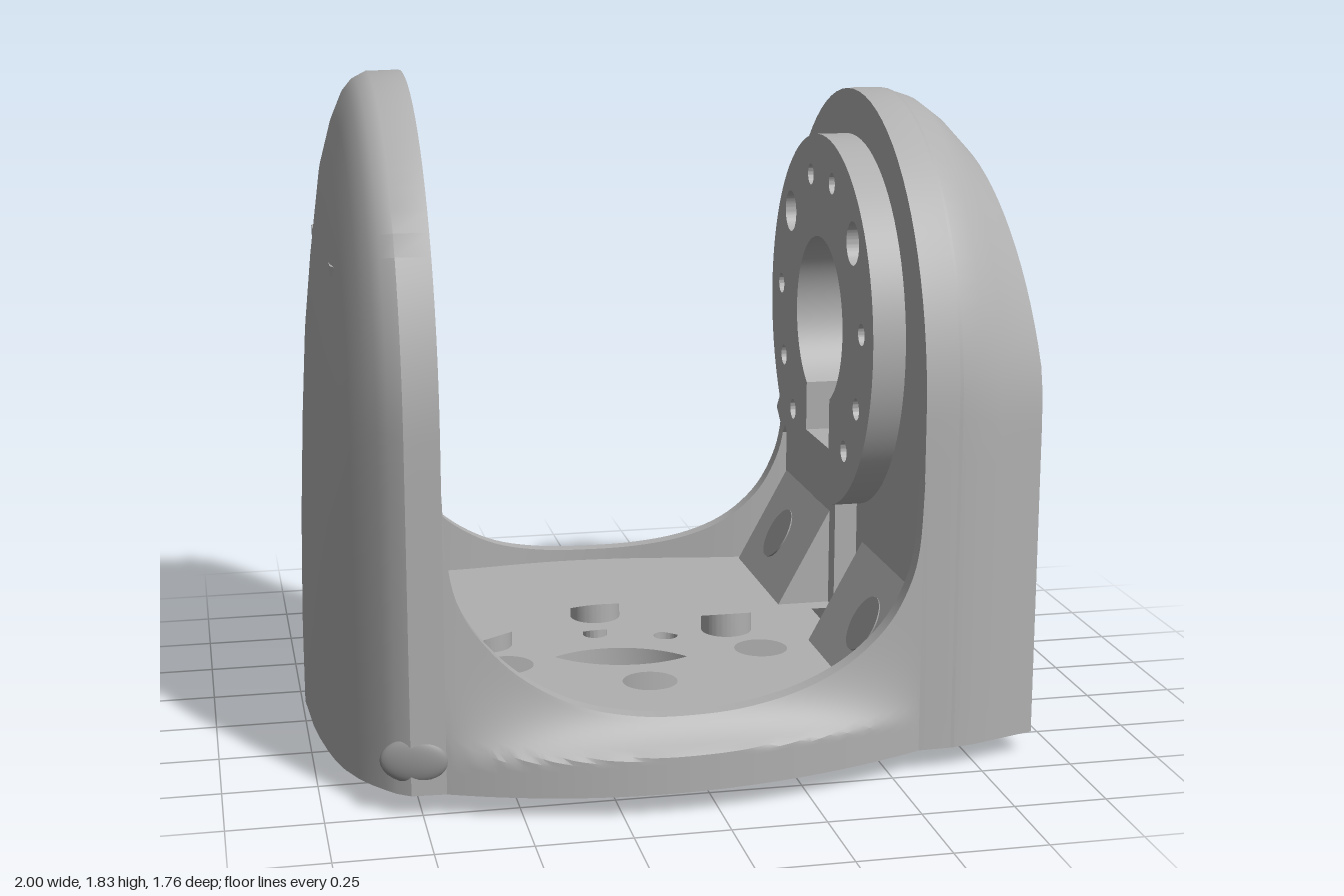
import * as THREE from 'three';
import { toCreasedNormals } from 'three/addons/utils/BufferGeometryUtils.js';

const grey = new THREE.MeshStandardMaterial({ color: 0xb0b0b0 });
grey.name = 'grey';
const socketGrey = new THREE.MeshStandardMaterial({ color: 0x949494 });
socketGrey.name = 'socketGrey';

const CX = -0.09; // centre of the base hole

// Surface through equal-length rows of [x, y, z] points
function grid(rows, flip = false) {
  const n = rows[0].length, index = [];
  for (let i = 0; i < rows.length - 1; i++) {
    for (let j = 0; j < n - 1; j++) {
      const a = i * n + j, b = a + 1, c = a + n, d = c + 1;
      if (flip) index.push(a, c, b, b, c, d);
      else index.push(a, b, c, b, d, c);
    }
  }
  const g = new THREE.BufferGeometry();
  g.setAttribute('position', new THREE.Float32BufferAttribute(rows.flat(2), 3));
  g.setIndex(index);
  return toCreasedNormals(g, 0.5);
}

// Closed arch outline; x is a number or a rule of (y, z)
function ring(x, w, h, y0 = 0.06) {
  const yS = Math.max(y0, h - 1.1 * w), pts = [];
  for (let i = 0; i < 8; i++) pts.push([w, y0 + (yS - y0) * i / 8]);
  for (let i = 0; i <= 40; i++) {
    const t = Math.PI * i / 40;
    pts.push([w * Math.cos(t), yS + (h - yS) * Math.sin(t)]);
  }
  for (let i = 1; i <= 8; i++) pts.push([-w, yS + (y0 - yS) * i / 8]);
  for (let i = 1; i <= 10; i++) pts.push([-w + 2 * w * i / 10, y0]);
  return pts.map(([z, y]) => [typeof x === 'number' ? x : x(y, z), y, z]);
}

function circle(x, y, r) {
  return new THREE.Path().absarc(x, y, r, 0, Math.PI * 2, true);
}
// Round hole with a straight slot running down from it
function keyhole(y, r, half, bottom) {
  const p = new THREE.Path(), f = Math.asin(half / r);
  p.absarc(0, y, r, -Math.PI / 2 + f, Math.PI * 1.5 - f, false);
  p.lineTo(-half, bottom);
  p.lineTo(half, bottom);
  p.closePath();
  return p;
}
function extrude(shape, depth) {
  return new THREE.ExtrudeGeometry(shape, { depth, bevelEnabled: false, curveSegments: 40 });
}
const smooth = (g) => toCreasedNormals(g, 0.5);
const plateY = (shape, y0, y1) => smooth(extrude(shape, y1 - y0).rotateX(-Math.PI / 2).translate(0, y0, 0));
const plateX = (shape, x0, x1) => smooth(extrude(shape, x1 - x0).rotateY(Math.PI / 2).translate(x0, 0, 0));

// Half-width of the body at the arms, and at the foot between them
const armWidth = (x) => 0.77 - 0.05 * (x + 0.69) / 1.27;
function footWidth(x) {
  const s = (x - CX) / (x < CX ? 0.6 : 0.67);
  return armWidth(x) + 0.135 * Math.max(0, 1 - s * s);
}
function sideZ(x, y) {
  const f = y < 0.16 ? 1 : Math.exp(-(y - 0.16) / 0.075);
  return armWidth(x) + (footWidth(x) - armWidth(x)) * f;
}

export function createModel() {
  const model = new THREE.Group();
  const add = (name, geometry, material = grey) => {
    const m = new THREE.Mesh(geometry, material);
    m.name = name;
    model.add(m);
    return m;
  };

  // Hollow arm: cavity, rim, then the domed outside
  add('hollowArm', grid([
    ring(-0.915, 0.001, 0.9, 0.7), ring(-0.91, 0.4, 1.3, 0.2), ring(-0.895, 0.57, 1.55, 0.2),
    ring(-0.84, 0.665, 1.73, 0.2), ring(-0.78, 0.72, 1.78, 0.2), ring(-0.69, 0.725, 1.79, 0.2),
    ring(-0.69, 0.77, 1.83), ring(-0.78, 0.765, 1.828), ring(-0.815, 0.74, 1.81),
    ring(-0.84, 0.71, 1.78), ring(-0.87, 0.67, 1.71), ring(-0.9, 0.62, 1.6), ring(-0.93, 0.55, 1.38),
    ring(-0.95, 0.48, 1.2), ring(-0.965, 0.4, 0.98), ring(-0.98, 0.3, 0.7), ring(-0.99, 0.2, 0.42),
    ring(-1, 0.001, 0.07),
  ]));

  // Stiffening ribs inside the hollow arm
  const ribShape = (pts) => new THREE.Shape(pts.map(([x, y]) => new THREE.Vector2(x, y)));
  for (const z of [-0.29, 0.29]) {
    const s = ribShape([[-0.92, 0.19], [-0.84, 0.19], [-0.845, 1.1], [-0.81, 1.62], [-0.82, 1.67], [-0.86, 1.6], [-0.92, 1.3]]);
    add('verticalRib', extrude(s, 0.026).translate(0, 0, z - 0.013));
  }
  for (const [y, k] of [[0.7, 1], [1.35, 0.87]]) {
    const half = [[-0.92, 0.42], [-0.87, 0.58], [-0.82, 0.67], [-0.81, 0.64], [-0.845, 0.4]];
    const mirror = half.map(([x, z]) => [x, -z]).reverse();
    const s = ribShape([...half, ...mirror].map(([x, z]) => [x, z * k]));
    add('horizontalRib', plateY(s, y - 0.013, y + 0.013));
  }

  // Saddle walls between the arms, on both sides
  const saddle = new THREE.SplineCurve([
    [-0.69, 0.85], [-0.68, 0.68], [-0.65, 0.55], [-0.58, 0.44], [-0.48, 0.345], [-0.35, 0.275],
    [-0.2, 0.242], [-0.05, 0.235], [0.1, 0.242], [0.25, 0.27], [0.38, 0.325], [0.48, 0.41],
    [0.54, 0.51], [0.57, 0.62], [0.58, 0.8],
  ].map(([x, y]) => new THREE.Vector2(x, y))).getPoints(70);
  for (const side of [1, -1]) {
    const rows = saddle.map(({ x, y: top }) => {
      const row = [[x, 0.06, side * (footWidth(x) - 0.12)]];
      for (let k = 0; k <= 18; k++) {
        const y = 0.06 + (top - 0.06) * k / 18;
        row.push([x, y, side * sideZ(x, y)]);
      }
      const inner = sideZ(x, top) - 0.045;
      row.push([x, top, side * inner], [x, 0.2, side * inner], [x, 0.2, side * (inner - 0.08)]);
      return row;
    });
    add('saddleWall', grid(rows, side > 0));
  }

  // Floor in two layers: screw holes below, counterbores and cable groove above
  const floorShape = () => {
    const pts = [];
    for (let i = 0; i <= 24; i++) {
      const x = -0.69 + 1.27 * i / 24;
      pts.push(new THREE.Vector2(x, footWidth(x) - 0.07));
    }
    const back = pts.map((p) => new THREE.Vector2(p.x, -p.y)).reverse();
    return new THREE.Shape([...pts, ...back]);
  };
  const around = (deg, r) => [CX + r * Math.cos(deg * Math.PI / 180), r * Math.sin(deg * Math.PI / 180)];
  const screws = [30, 90, 150, 210, 270, 330].map((d) => around(d, 0.42));
  const lower = floorShape(), upper = floorShape();
  lower.holes.push(circle(CX, 0, 0.28), circle(-0.51, 0, 0.037));
  const groove = new THREE.Path(), f = Math.asin(0.11 / 0.28);
  groove.moveTo(-0.67, 0.11);
  groove.absarc(CX, 0, 0.28, Math.PI - f, f, true);
  groove.lineTo(0.56, 0.11);
  groove.lineTo(0.56, -0.11);
  groove.absarc(CX, 0, 0.28, -f, -Math.PI + f, true);
  groove.lineTo(-0.67, -0.11);
  groove.closePath();
  upper.holes.push(groove);
  for (const [x, z] of screws) {
    lower.holes.push(circle(x, z, 0.037));
    upper.holes.push(circle(x, z, 0.075));
  }
  add('lowerFloor', plateY(lower, 0.06, 0.12));
  add('upperFloor', plateY(upper, 0.12, 0.2));

  // Mounting ring under the base, with its key tab
  const mount = new THREE.Shape().absarc(CX, 0, 0.6, 0, Math.PI * 2, false);
  mount.holes.push(circle(CX, 0, 0.28));
  for (const [x, z] of [...screws, ...[0, 60, 180, 300].map((d) => around(d, 0.42))]) {
    mount.holes.push(circle(x, z, 0.037));
  }
  add('mountingRing', plateY(mount, 0, 0.06));
  add('mountingTab', new THREE.BoxGeometry(0.12, 0.06, 0.12).translate(-0.72, 0.03, 0));

  // Solid arm: recessed end, lip, rounded shoulder
  const crown = (y) => 1 - 0.045 * y - 0.024 * y * y;
  const lip = (y) => Math.min(crown(y), 0.925);
  const recess = (y) => lip(y) - 0.025;
  add('solidArm', grid([
    ring(recess, 0.001, 0.8, 0.78), ring(recess, 0.625, 1.6, 0.085), ring(lip, 0.625, 1.6, 0.085),
    ring(lip, 0.645, 1.62), ring(0.8, 0.685, 1.69), ring(0.74, 0.705, 1.735),
    ring(0.67, 0.717, 1.758), ring(0.58, 0.72, 1.76),
  ]));

  // Domed cover panel on the end of the solid arm
  const dome = (y, z) => crown(y) - Math.max(0, crown(y) - 0.925) * (z / 0.62) ** 2;
  const panel = [0.001, 0.2, 0.4, 0.6, 0.8, 0.92, 1].map((s) => ring(dome, 0.61 * s, 0.7 + 0.885 * s, 0.7 - 0.605 * s));
  panel.push(ring((y) => lip(y) - 0.03, 0.61, 1.585, 0.095));
  add('coverPanel', grid(panel));

  // Inner face of the solid arm with the cable slot
  const face = new THREE.Shape(ring(0, 0.717, 1.757).slice(0, 57).map(([, y, z]) => new THREE.Vector2(z, y)));
  face.holes.push(keyhole(1.1, 0.52, 0.11, 0.12));
  add('innerFace', plateX(face, 0.58, 0.68));
  add('slotBack', new THREE.BoxGeometry(0.02, 0.7, 0.4).translate(0.69, 0.42, 0));

  // Bearing boss with keyhole opening and screw holes
  const boss = new THREE.Shape().absarc(0, 1.1, 0.53, 0, Math.PI * 2, false);
  boss.holes.push(keyhole(1.1, 0.24, 0.12, 0.75));
  const bossHole = (deg, r) => {
    const a = deg * Math.PI / 180;
    boss.holes.push(circle(0.42 * Math.cos(a), 1.1 + 0.42 * Math.sin(a), r));
  };
  [75, 105, 5, 175, -25, 205, -50, 230].forEach((d) => bossHole(d, 0.03));
  [40, 140].forEach((d) => bossHole(d, 0.06));
  add('bearingBoss', plateX(boss, 0.49, 0.8));
  add('bossBack', smooth(new THREE.CylinderGeometry(0.53, 0.53, 0.01, 48).rotateZ(Math.PI / 2).translate(0.8, 1.1, 0)));
  add('bossTab', new THREE.BoxGeometry(0.09, 0.1, 0.1).rotateX(0.7).translate(0.535, 0.75, -0.39));

  // Sloped gussets under the boss, and screw sockets
  const normal = new THREE.Vector3(-0.32, 0.18, 0).normalize();
  for (const side of [1, -1]) {
    const gusset = ribShape([[0.42, 0.19], [0.6, 0.19], [0.6, 0.52]]);
    add('gusset', extrude(gusset, 0.5).translate(0, 0, side > 0 ? 0.17 : -0.67));
    const socket = add('gussetSocket', new THREE.CylinderGeometry(0.08, 0.08, 0.008, 28), socketGrey);
    socket.quaternion.setFromUnitVectors(new THREE.Vector3(0, 1, 0), normal);
    socket.position.set(0.5, 0.337, side * 0.46);
    const port = add('sidePort', new THREE.SphereGeometry(1, 28, 14), socketGrey);
    port.scale.set(0.088, 0.06, 0.022);
    port.rotation.y = -side * 0.22;
    port.position.set(-0.77, 0.15, side * 0.75);
  }
  return model;
}
